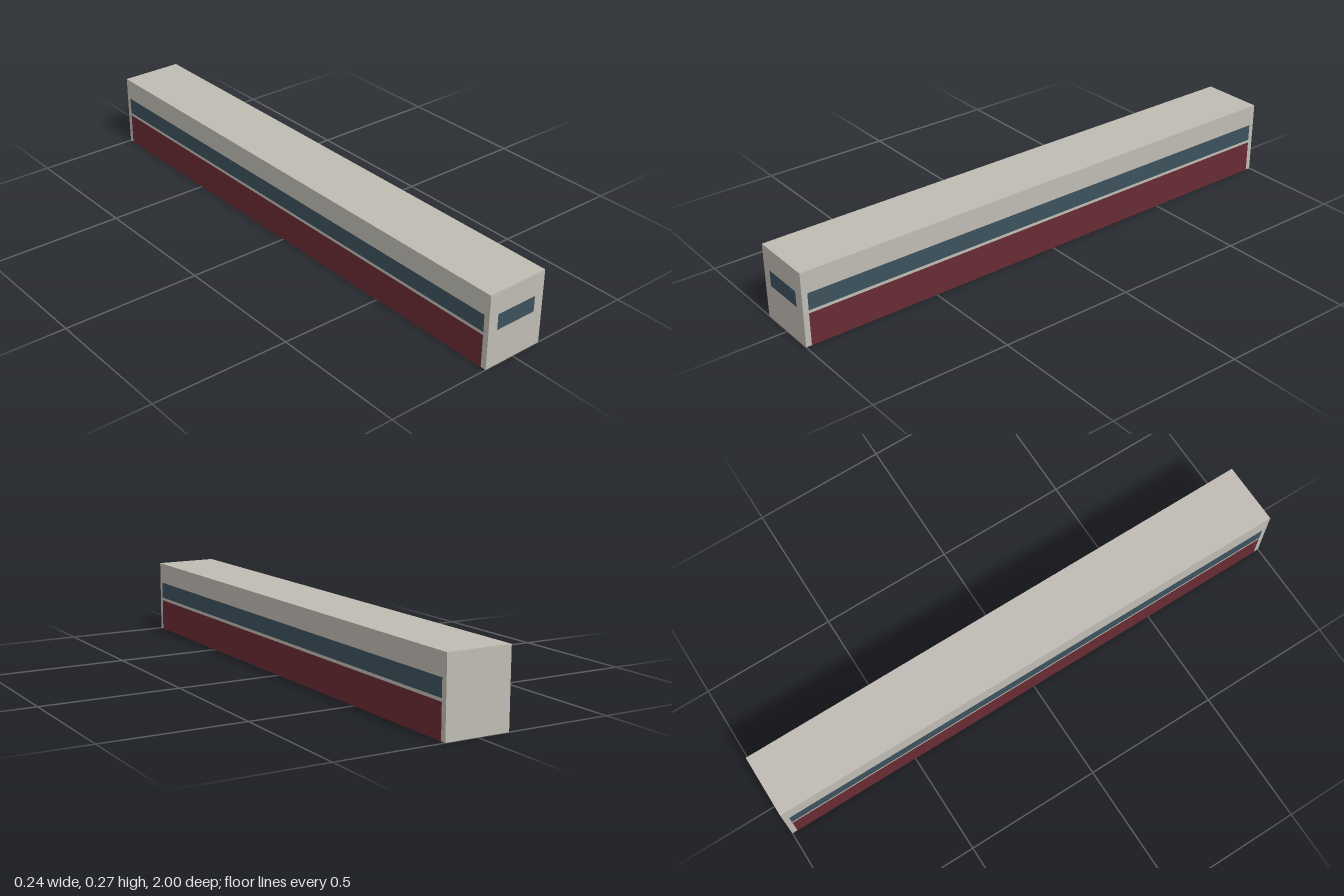
import * as THREE from 'three';

const W = 0.234, H = 0.27, L = 2;

export function createModel() {
  const model = new THREE.Group();
  model.name = 'railCar';

  const mat = (name, color) => {
    const m = new THREE.MeshStandardMaterial({ color });
    m.name = name;
    return m;
  };
  const shellPaint = mat('warm grey', 0xbfbbb3);
  shellPaint.side = THREE.DoubleSide;
  const glass = mat('window blue', 0x3c515c);
  const red = mat('dark red', 0x682b33);

  // One flat panel, facing +z before it is turned
  const panel = (parent, name, w, h, material, pos, rx = 0, ry = 0) => {
    const mesh = new THREE.Mesh(new THREE.PlaneGeometry(w, h), material);
    mesh.name = name;
    mesh.position.set(...pos);
    mesh.rotation.set(rx, ry, 0);
    parent.add(mesh);
  };

  // Thin-walled body, open underneath
  const body = new THREE.Group();
  body.name = 'bodyShell';
  model.add(body);
  panel(body, 'roof', W, L, shellPaint, [0, H, 0], -Math.PI / 2);
  panel(body, 'frontWall', W, H, shellPaint, [0, H / 2, L / 2]);
  panel(body, 'backWall', W, H, shellPaint, [0, H / 2, -L / 2], 0, Math.PI);

  // Side walls with a window band and a lower stripe, mirrored
  for (const [side, s] of [['left', 1], ['right', -1]]) {
    const turn = s * Math.PI / 2;
    const out = s * (W / 2 + 0.001);
    panel(body, side + 'Wall', L, H, shellPaint, [s * W / 2, H / 2, 0], 0, turn);
    panel(model, side + 'WindowBand', 1.96, 0.062, glass, [out, 0.161, 0], 0, turn);
    panel(model, side + 'LowerStripe', 1.96, 0.119, red, [out, 0.0595, 0], 0, turn);
  }

  // Windscreen on the front only
  panel(model, 'windscreen', 0.16, 0.057, glass, [0, 0.1605, L / 2 + 0.001]);

  return model;
}
